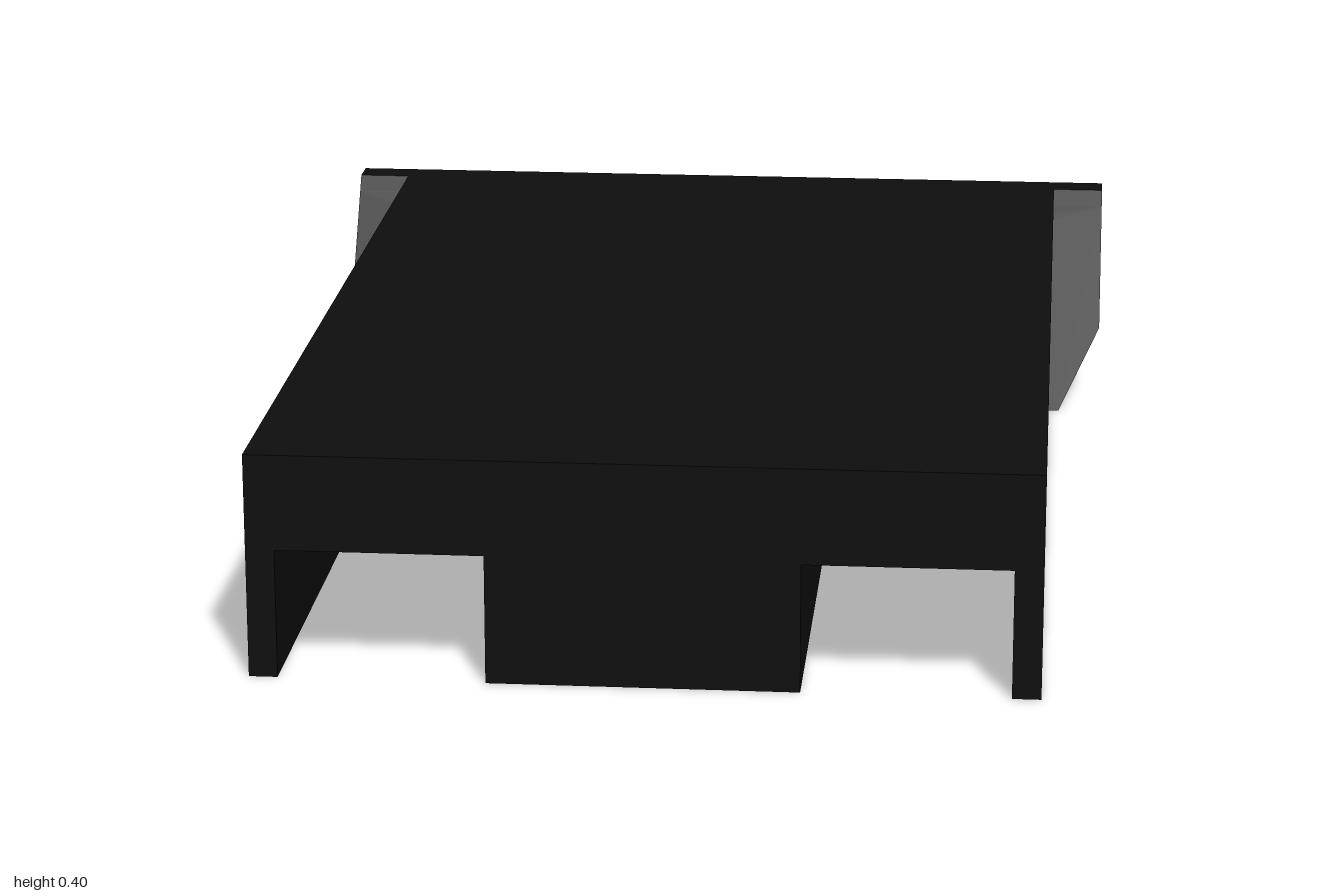
import * as THREE from 'three';

const black = new THREE.MeshStandardMaterial({ color: 0x0e0e0e });
black.name = 'black plastic';

const toShape = (pts) => new THREE.Shape(pts.map(([a, b]) => new THREE.Vector2(a, b)));
const extrude = (shape, depth) => new THREE.ExtrudeGeometry(shape, { depth, bevelEnabled: false });

export function createModel() {
  const group = new THREE.Group();
  const add = (name, geometry) => {
    const mesh = new THREE.Mesh(geometry, black);
    mesh.name = name;
    group.add(mesh);
    return mesh;
  };

  // Tray body: mirrored cross-sections, with under-channels or side slits where needed
  const section = (name, z0, z1, channel, slit) => {
    const half = channel ? [[0.27, 0], [0.27, 0.23], [0.63, 0.23], [0.63, 0]] : [];
    half.push([0.68, 0]);
    if (slit) half.push([0.68, 0.14], [0.64, 0.14], [0.64, 0.37], [0.68, 0.37]);
    half.push([0.68, 0.4]);
    const mirrored = half.map(([x, y]) => [-x, y]).reverse();
    add(name, extrude(toShape([...half, ...mirrored]), z1 - z0).translate(0, 0, z0));
  };
  section('channelledBody', -0.325, 1, true, false);
  section('frontSideSlits', -0.345, -0.325, false, true);
  section('bodyBetweenSlits', -0.49, -0.345, false, false);
  section('rearSideSlits', -0.51, -0.49, false, true);
  section('solidBody', -0.67, -0.51, false, false);

  // Sloped rear of the body, extruded across x, with a finger pocket in the middle
  const wedge = (name, x0, x1, profile) => {
    const shape = toShape(profile.map(([z, y]) => [-z, y]));
    add(name, extrude(shape, x1 - x0).rotateY(Math.PI / 2).translate(x0, 0, 0));
  };
  const plain = [[-0.67, 0], [-0.94, 0.4], [-0.67, 0.4]];
  wedge('leftRearWedge', 0.25, 0.68, plain);
  wedge('rightRearWedge', -0.68, -0.25, plain);
  wedge('fingerPocketWall', -0.25, 0.25, [
    [-0.67, 0], [-0.724, 0.08], [-0.77, 0.08], [-0.77, 0.24],
    [-0.832, 0.24], [-0.94, 0.4], [-0.67, 0.4],
  ]);

  // Slanted end plate: flat outline leaned backwards as it rises
  const lean = (geometry) => {
    const p = geometry.attributes.position;
    for (let i = 0; i < p.count; i++) {
      const y = p.getY(i);
      const back = -0.76 - 0.24 * Math.min(1, y / 0.37);
      const front = -0.67 - 0.675 * y;
      p.setZ(i, p.getZ(i) > 0.5 ? front : back);
    }
    geometry.computeVertexNormals();
    return geometry;
  };
  const plate = toShape([[-0.7, 0], [0.7, 0], [0.78, 0.15], [0.78, 0.37], [-0.78, 0.37], [-0.78, 0.15]]);
  plate.holes.push(toShape([[-0.25, 0.08], [-0.25, 0.24], [0.25, 0.24], [0.25, 0.08]]));
  add('endPlate', lean(extrude(plate, 1)));
  const lip = toShape([[-0.78, 0.37], [0.78, 0.37], [0.78, 0.4], [-0.78, 0.4]]);
  add('endPlateLip', lean(extrude(lip, 1)));

  // Locating pegs on the outer channel walls
  for (const side of [-1, 1]) {
    const peg = add(side > 0 ? 'leftPeg' : 'rightPeg', new THREE.CylinderGeometry(0.045, 0.045, 0.19, 24));
    peg.rotation.z = Math.PI / 2;
    peg.position.set(side * 0.535, 0.185, 0.3);
  }
  return group;
}
